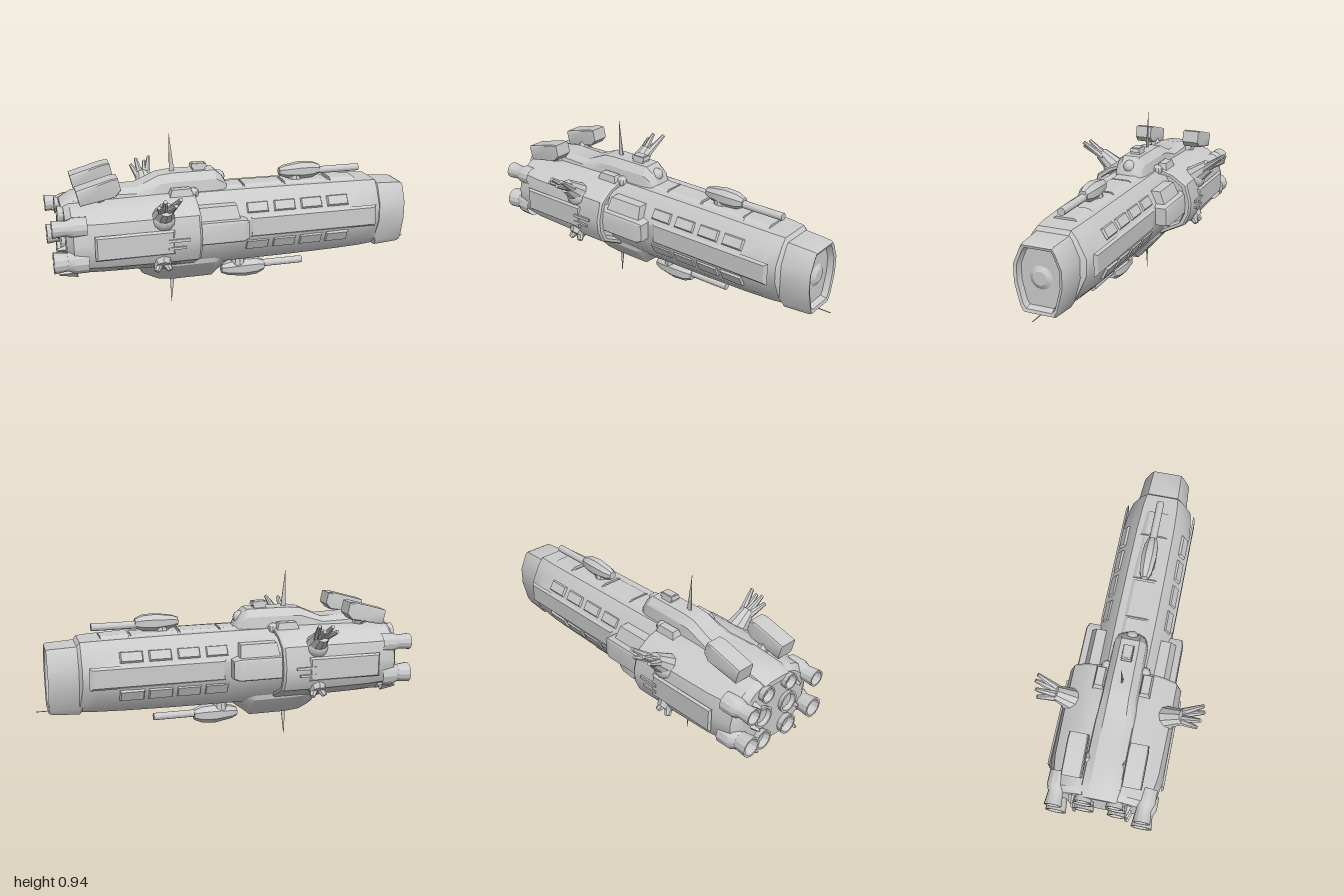
import * as THREE from 'three';
import { toCreasedNormals } from 'three/addons/utils/BufferGeometryUtils.js';

const material = new THREE.MeshStandardMaterial({ color: 0xcccccc, side: THREE.DoubleSide });
const CREASE = 0.5;

function add(parent, name, geometry, x = 0, y = 0, z = 0) {
  const mesh = new THREE.Mesh(toCreasedNormals(geometry, CREASE), material);
  mesh.name = name;
  mesh.position.set(x, y, z);
  parent.add(mesh);
  return mesh;
}

// Skin of mirrored cross-sections along x; half = [z, y] from top to bottom.
function loft(sections) {
  const rings = sections.map(([x, half]) =>
    [...half, ...half.slice().reverse().map(([z, y]) => [-z, y])].map(([z, y]) => [x, y, z]));
  const n = rings[0].length, pos = rings.flat(2), index = [];
  for (let s = 0; s < rings.length - 1; s++) {
    for (let i = 0; i < n; i++) {
      const j = (i + 1) % n, a = s * n, b = a + n;
      index.push(a + i, a + j, b + i, a + j, b + j, b + i);
    }
  }
  const last = (rings.length - 1) * n;
  for (let i = 1; i < n - 1; i++) {
    index.push(0, i + 1, i, last, last + i, last + i + 1);
  }
  const g = new THREE.BufferGeometry();
  g.setAttribute('position', new THREE.Float32BufferAttribute(pos, 3));
  g.setIndex(index);
  return g;
}

// Scale a half section about its centre height.
const fit = (half, sz, sy, cy, dy = 0) => half.map(([z, y]) => [z * sz, cy + dy + (y - cy) * sy]);

// Tapered rod between two points.
function rod(parent, name, a, b, r0, r1, sides = 8) {
  const p = new THREE.Vector3(...a), q = new THREE.Vector3(...b), d = q.clone().sub(p);
  const g = new THREE.CylinderGeometry(r1, r0, d.length(), sides);
  g.applyQuaternion(new THREE.Quaternion().setFromUnitVectors(new THREE.Vector3(0, 1, 0), d.normalize()));
  const m = p.add(q).multiplyScalar(0.5);
  return add(parent, name, g, m.x, m.y, m.z);
}

// Box with its upper end narrowed.
function wedge(w, h, d, topW = 1, topD = 1) {
  const g = new THREE.BoxGeometry(w, h, d), p = g.attributes.position;
  for (let i = 0; i < p.count; i++) {
    if (p.getY(i) > 0) p.setXYZ(i, p.getX(i) * topW, p.getY(i), p.getZ(i) * topD);
  }
  return g;
}

// Hollow engine bell opening towards -x.
function nozzle(parent, x, y, z, r, len) {
  const profile = [[r * 1.15, 0], [r * 1.15, len * 0.4], [r * 0.85, len * 0.6], [r, len],
    [r * 0.8, len], [r * 0.6, len * 0.65], [0.001, len * 0.6]].map(p => new THREE.Vector2(...p));
  add(parent, 'engineNozzle', new THREE.LatheGeometry(profile, 12).rotateZ(Math.PI / 2), x, y, z);
}

function gun(parent, name, x, y, flip) {
  const g = new THREE.Group();
  g.name = name;
  const body = [[0.018, 0.045], [0.04, 0.02], [0.04, -0.02], [0.018, -0.045]];
  add(g, 'gunHouse', loft([
    [-0.12, fit(body, 0.5, 0.45, 0)], [-0.09, fit(body, 0.8, 0.7, 0)], [0, body],
    [0.07, fit(body, 0.9, 0.9, 0)], [0.11, fit(body, 0.6, 0.55, 0)]]));
  rod(g, 'gunBarrel', [0.08, -0.008 * flip, 0], [0.34, -0.008 * flip, 0], 0.02, 0.02, 12);
  add(g, 'gunMount', new THREE.CylinderGeometry(0.035, 0.045, 0.06, 10), -0.03, -0.045 * flip, 0);
  g.position.set(x, y, 0);
  parent.add(g);
}

export function createModel() {
  const ship = new THREE.Group();
  ship.name = 'spaceship';

  // Long forward hull with stepped bow and recessed face
  const H = [[0.10, 0.64], [0.135, 0.6], [0.19, 0.5], [0.19, 0.41], [0.13, 0.285], [0.085, 0.24]];
  const bow = [[0.085, 0.605], [0.1, 0.585], [0.138, 0.5], [0.138, 0.4], [0.105, 0.275], [0.085, 0.245]];
  add(ship, 'forwardHull', loft([
    [-0.35, H], [0.0, fit(H, 1.03, 1, 0.44)], [0.3, fit(H, 1.02, 0.99, 0.44)], [0.55, fit(H, 1, 0.97, 0.44)],
    [0.7, fit(H, 0.94, 0.95, 0.44)], [0.77, fit(H, 0.86, 0.93, 0.44)], [0.785, bow],
    [0.925, fit(bow, 0.93, 0.96, 0.43)], [0.94, fit(bow, 0.9, 0.92, 0.435)],
    [0.935, fit(bow, 0.8, 0.84, 0.435)], [0.905, fit(bow, 0.74, 0.78, 0.435)]]));
  add(ship, 'bowHub', new THREE.CylinderGeometry(0.035, 0.06, 0.015, 12).rotateZ(-Math.PI / 2), 0.912, 0.43, 0);
  rod(ship, 'bowProbe', [0.75, 0.25, 0], [1, 0.25, 0], 0.005, 0.002, 5);

  // Armour strips and ridges of the forward hull
  const ridge = [[0.05, 0.65], [0.075, 0.635], [0.075, 0.6]];
  for (const [a, b] of [[-0.08, 0.02], [0.03, 0.24], [0.255, 0.5], [0.515, 0.66]]) {
    add(ship, 'dorsalPlate', loft([[a, ridge], [b, fit(ridge, 0.95, 1, 0.6, b > 0.4 ? -0.008 : 0)]]));
  }
  for (const s of [1, -1]) {
    add(ship, 'sidePlate', wedge(0.72, 0.012, 0.12, 0.95, 0.8).rotateX(s * Math.PI / 2), 0.38, 0.455, s * 0.192);
    for (let i = 0; i < 4; i++) {
      const rib = wedge(0.12, 0.012, 0.06, 0.9, 0.8).rotateX(s * 1.02);
      add(ship, 'shoulderPlate', rib, 0.07 + i * 0.15, 0.555, s * 0.167);
      const lower = wedge(0.13, 0.012, 0.07, 0.9, 0.8).rotateX(s * 2.03);
      add(ship, 'bilgePlate', lower, 0.07 + i * 0.15, 0.35, s * 0.166);
    }
    // Side sponsons
    add(ship, 'sideSponson', loft([
      [-0.32, [[0.045, 0.055], [0.05, 0.045], [0.05, -0.055], [0.045, -0.06]]],
      [-0.03, [[0.045, 0.055], [0.05, 0.045], [0.05, -0.055], [0.045, -0.06]]],
      [0, [[0.035, 0.045], [0.04, 0.04], [0.04, -0.045], [0.035, -0.05]]]]), 0, 0.465, s * 0.215);
    add(ship, 'sponsonRoof', wedge(0.22, 0.07, 0.12, 0.9, 0.5), -0.15, 0.55, s * 0.17);
  }

  // Broad rear hull with rimmed front opening
  const R = [[0.13, 0.645], [0.2, 0.622], [0.272, 0.572], [0.3, 0.47], [0.295, 0.4], [0.265, 0.335], [0.1, 0.25]];
  add(ship, 'rearHull', loft([
    [-0.93, fit(R, 0.72, 0.88, 0.44)], [-0.9, fit(R, 0.9, 0.95, 0.44)], [-0.75, fit(R, 0.98, 0.98, 0.44)],
    [-0.5, R], [-0.27, R], [-0.258, fit(R, 0.97, 0.97, 0.44)], [-0.258, fit(R, 0.9, 0.9, 0.44)],
    [-0.3, fit(R, 0.86, 0.86, 0.44)]]));
  for (const s of [1, -1]) {
    add(ship, 'rearSidePlate', wedge(0.4, 0.012, 0.13, 0.95, 0.85).rotateX(s * Math.PI / 2), -0.6, 0.45, s * 0.297);
    add(ship, 'sideVent', new THREE.BoxGeometry(0.11, 0.015, 0.015), -0.38, 0.46, s * 0.302);
    add(ship, 'sideVent', new THREE.BoxGeometry(0.09, 0.012, 0.015), -0.39, 0.42, s * 0.3);
  }

  // Engines
  for (const s of [1, -1]) {
    nozzle(ship, -0.83, 0.55, s * 0.225, 0.045, 0.17);
    nozzle(ship, -0.83, 0.375, s * 0.225, 0.055, 0.17);
    nozzle(ship, -0.86, 0.58, s * 0.08, 0.045, 0.1);
    nozzle(ship, -0.86, 0.32, s * 0.09, 0.055, 0.1);
    nozzle(ship, -0.86, 0.45, s * 0.09, 0.06, 0.09);
    for (let i = 0; i < 3; i++) {
      rod(ship, 'engineFin', [-0.88, 0.29 + i * 0.13, s * 0.15], [-0.97, 0.28 + i * 0.13, s * 0.14], 0.03, 0.008, 4);
    }
  }

  // Dorsal superstructure and bridge
  const D = [[0.05, 0.74], [0.085, 0.7], [0.1, 0.6]];
  add(ship, 'dorsalSuperstructure', loft([
    [-0.94, fit(D, 1, 0.2, 0.6)], [-0.88, fit(D, 1.1, 0.45, 0.6)], [-0.72, fit(D, 1.1, 0.62, 0.6)],
    [-0.55, fit(D, 1.1, 0.58, 0.6)], [-0.43, fit(D, 1, 0.95, 0.6)], [-0.36, D], [-0.13, fit(D, 0.95, 1, 0.6)],
    [-0.09, fit(D, 0.85, 0.75, 0.6)], [-0.06, fit(D, 0.6, 0.35, 0.6)]]));
  add(ship, 'bridge', wedge(0.07, 0.05, 0.06, 0.85, 0.7), -0.21, 0.75, 0);
  add(ship, 'bridgeRoof', wedge(0.085, 0.02, 0.055, 0.9, 0.9), -0.21, 0.763, 0);
  add(ship, 'bridgeDome', new THREE.SphereGeometry(0.035, 12, 8), -0.1, 0.69, 0);
  for (const s of [1, -1]) {
    add(ship, 'shoulderBlock', wedge(0.14, 0.06, 0.07, 0.7, 0.6), -0.33, 0.645, s * 0.12);
    add(ship, 'shoulderTurret', new THREE.SphereGeometry(0.03, 10, 6), -0.26, 0.64, s * 0.1);
  }

  // Ventral keel
  const K = [[0.13, 0.32], [0.12, 0.25], [0.07, 0.185], [0.035, 0.145]];
  add(ship, 'ventralKeel', loft([
    [-0.58, fit(K, 0.7, 0.4, 0.32)], [-0.5, fit(K, 0.85, 0.8, 0.32)], [-0.44, fit(K, 1, 0.95, 0.32)], [-0.36, K],
    [-0.15, K], [-0.12, fit(K, 0.9, 0.85, 0.32)], [-0.06, fit(K, 0.8, 0.6, 0.32)], [-0.03, fit(K, 0.6, 0.4, 0.32)]]));
  add(ship, 'keelDome', new THREE.SphereGeometry(0.035, 10, 8), -0.5, 0.21, 0);

  // Masts above and below
  rod(ship, 'upperMast', [-0.35, 0.72, 0], [-0.362, 0.94, 0], 0.017, 0.001, 6).scale.z = 0.4;
  rod(ship, 'lowerMast', [-0.36, 0.16, 0], [-0.368, 0.0, 0], 0.015, 0.001, 6).scale.z = 0.4;

  // Deck guns
  gun(ship, 'upperGun', 0.3, 0.69, 1);
  ship.getObjectByName('upperGun').position.x = 0.36;
  gun(ship, 'lowerGun', 0.04, 0.16, -1);
  ship.getObjectByName('lowerGun').children[0].scale.set(1.05, 1.1, 1.2);

  for (const s of [1, -1]) {
    // Tilted pods on pylons
    const pod = add(ship, 'rearPod', loft([
      [-0.105, [[0.045, 0.035], [0.05, 0.025], [0.05, -0.035], [0.045, -0.045]]],
      [0.075, [[0.045, 0.045], [0.05, 0.04], [0.05, -0.045], [0.045, -0.05]]],
      [0.11, [[0.042, 0.04], [0.047, 0.035], [0.047, -0.02], [0.042, -0.025]]]]), -0.76, 0.712, s * 0.15);
    pod.rotation.z = 0.22;
    rod(ship, 'podPylon', [-0.74, 0.61, s * 0.08], [-0.76, 0.69, s * 0.135], 0.035, 0.025, 6);

    // Pronged side arms
    add(ship, 'armBase', new THREE.SphereGeometry(0.06, 12, 8), -0.45, 0.56, s * 0.255);
    rod(ship, 'arm', [-0.45, 0.565, s * 0.24], [-0.45, 0.64, s * 0.335], 0.06, 0.038, 10);
    for (const [x, y, z] of [[-0.5, 0.675, 0.41], [-0.47, 0.705, 0.42], [-0.42, 0.685, 0.435], [-0.395, 0.712, 0.425]]) {
      rod(ship, 'armProng', [-0.45 + (x + 0.45) * 0.4, 0.625, s * 0.315], [x, y, s * z], 0.022, 0.01, 7);
    }

    // Lower side turrets
    rod(ship, 'lowerTurretBase', [-0.46, 0.37, s * 0.22], [-0.46, 0.32, s * 0.27], 0.07, 0.04, 8);
    for (const dx of [-0.035, 0.035]) {
      rod(ship, 'lowerTurretBarrel', [-0.46 + dx * 0.5, 0.33, s * 0.255], [-0.46 + dx, 0.297, s * 0.28], 0.025, 0.014, 7);
    }
  }
  return ship;
}
